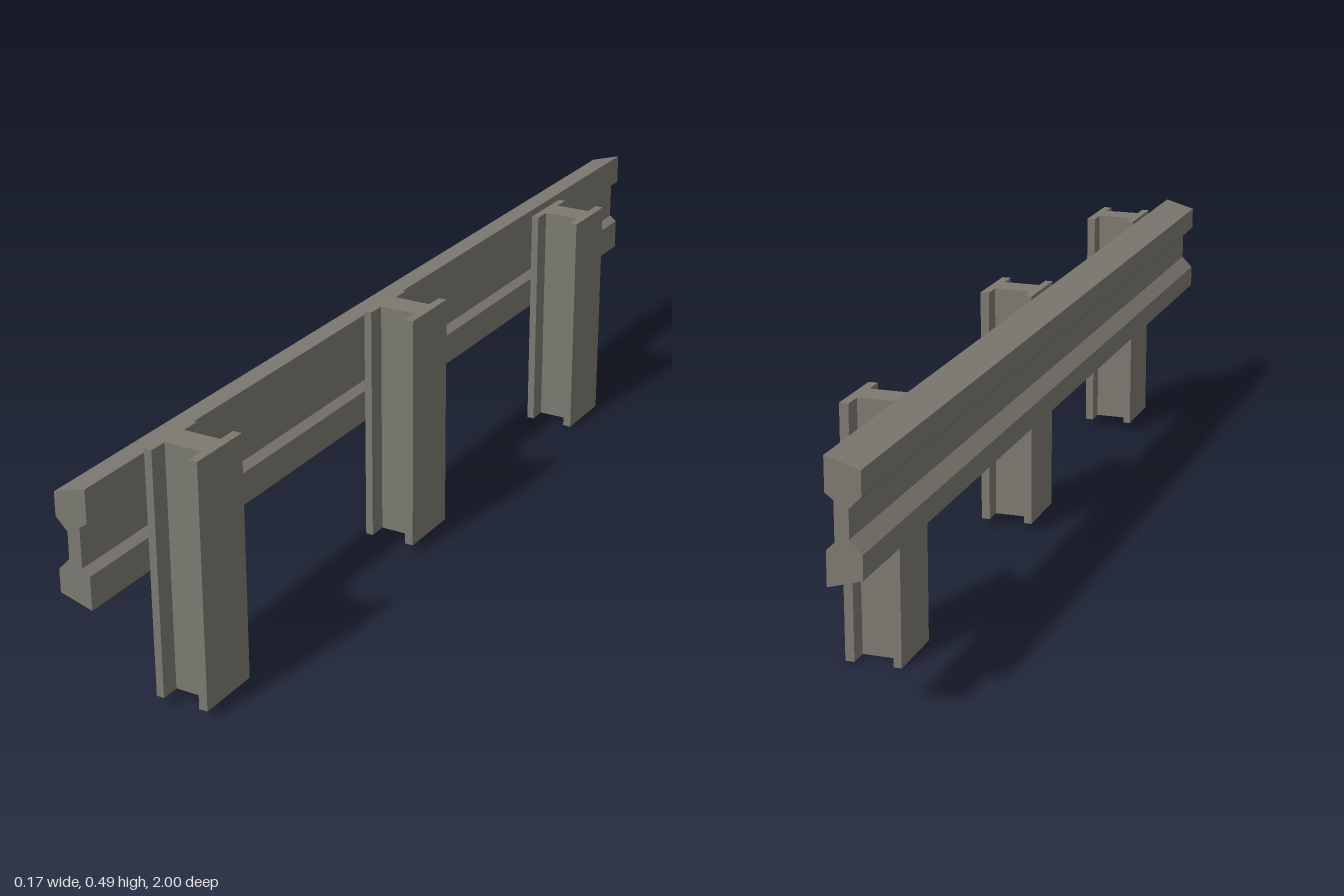
import * as THREE from 'three';

// Extrude a closed outline of [x, y] points
function extrude(points, depth, material) {
  const shape = new THREE.Shape(points.map(([x, y]) => new THREE.Vector2(x, y)));
  const geometry = new THREE.ExtrudeGeometry(shape, { depth, bevelEnabled: false });
  return new THREE.Mesh(geometry, material);
}

export function createModel() {
  const group = new THREE.Group();
  group.name = 'guardrail';
  const steel = new THREE.MeshStandardMaterial({ color: 0x7b7970 });
  steel.name = 'weathered grey steel';

  // Long rail with a pinched profile, running along z
  const rail = extrude([
    [-0.022, 0.483], [-0.084, 0.465], [-0.084, 0.421], [-0.062, 0.399],
    [-0.062, 0.349], [-0.084, 0.326], [-0.084, 0.283], [-0.022, 0.265],
    [-0.022, 0.327], [-0.037, 0.338], [-0.037, 0.411], [-0.022, 0.422],
  ], 2, steel);
  rail.position.z = -1;
  rail.name = 'rail';
  group.add(rail);

  // I-beam posts: [z centre, bottom height]; the rear one sits lower
  const x0 = -0.022, x1 = -0.007, x2 = 0.066, x3 = 0.083;
  const flange = 0.065, web = 0.028, height = 0.468;
  const section = [
    [x0, -flange], [x1, -flange], [x1, -web], [x2, -web], [x2, -flange], [x3, -flange],
    [x3, flange], [x2, flange], [x2, web], [x1, web], [x1, flange], [x0, flange],
  ];
  [['frontPost', 0.775, 0.022], ['middlePost', 0.07, 0.022], ['rearPost', -0.63, 0]]
    .forEach(([name, z, y]) => {
      const post = extrude(section, height, steel);
      post.rotation.x = -Math.PI / 2;
      post.position.set(0, y, z);
      post.name = name;
      group.add(post);
    });

  return group;
}
